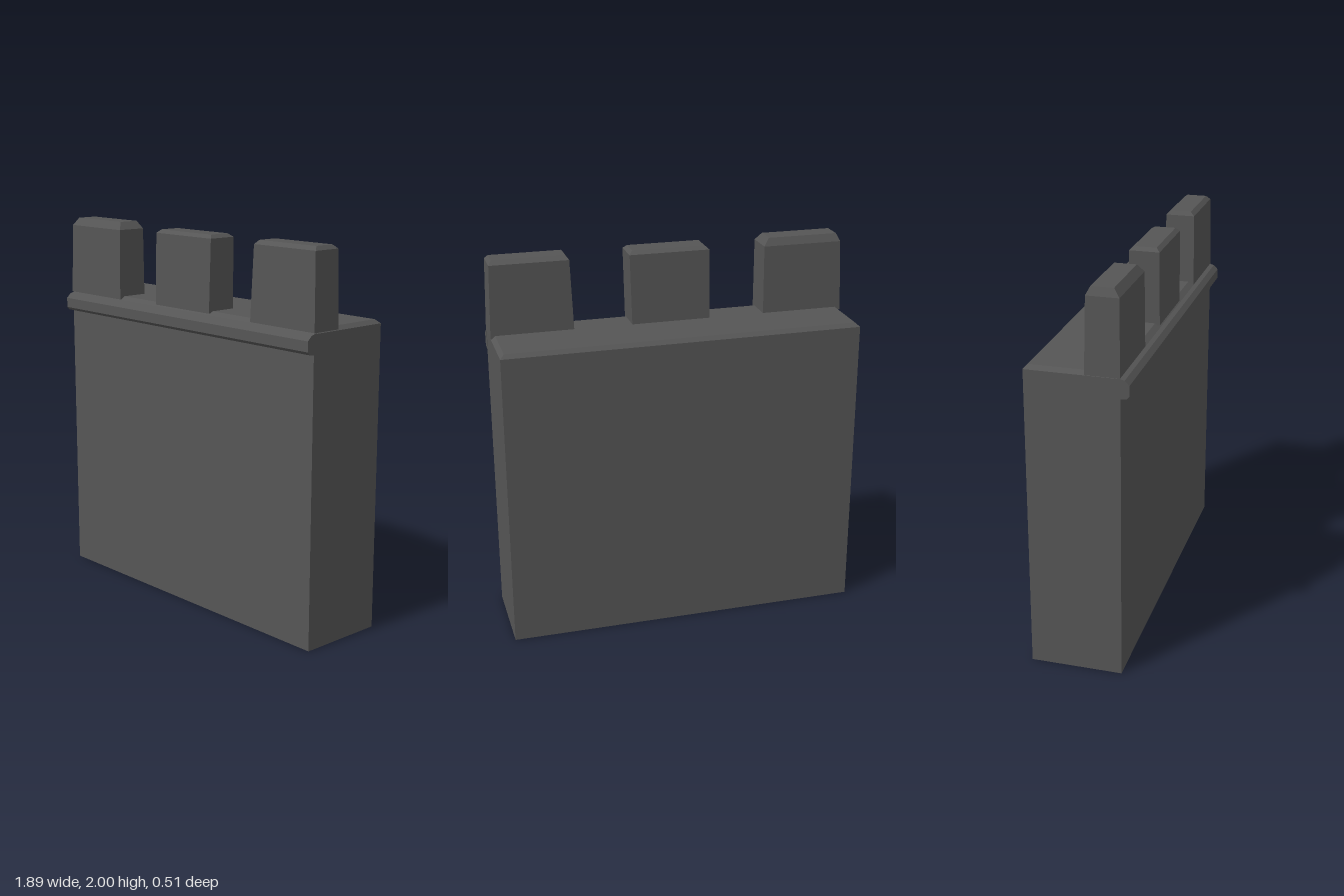
import * as THREE from 'three';

const stone = new THREE.MeshStandardMaterial({ color: 0x555555 });
stone.name = 'darkStone';

// Closed block through rectangular rings [y, x0, x1, z0, z1], listed from bottom to top
function loft(name, rings) {
  const pts = rings.map(([y, x0, x1, z0, z1]) => [[x0, y, z1], [x1, y, z1], [x1, y, z0], [x0, y, z0]]);
  const pos = [];
  const quad = (a, b, c, d) => pos.push(...a, ...b, ...c, ...a, ...c, ...d);
  for (let r = 0; r < pts.length - 1; r++) {
    for (let i = 0; i < 4; i++) {
      const j = (i + 1) % 4;
      quad(pts[r][i], pts[r][j], pts[r + 1][j], pts[r + 1][i]);
    }
  }
  const [a, b, c, d] = pts[0];
  quad(d, c, b, a);
  quad(...pts[pts.length - 1]);
  const geo = new THREE.BufferGeometry();
  geo.setAttribute('position', new THREE.Float32BufferAttribute(pos, 3));
  geo.computeVertexNormals();
  const mesh = new THREE.Mesh(geo, stone);
  mesh.name = name;
  return mesh;
}

export function createModel() {
  const group = new THREE.Group();
  group.name = 'castleWall';

  // Wall slab with a bevelled top
  group.add(loft('wall', [
    [0, -0.94, 0.94, -0.255, 0.215],
    [1.58, -0.94, 0.94, -0.255, 0.215],
    [1.6, -0.918, 0.918, -0.235, 0.185],
  ]));

  // Ledge along the front edge, extruded along x
  const profile = new THREE.Shape([
    [-0.2, 1.48], [-0.245, 1.485], [-0.258, 1.5], [-0.258, 1.552], [-0.235, 1.575], [-0.2, 1.585],
  ].map(([x, y]) => new THREE.Vector2(x, y)));
  const ledgeGeo = new THREE.ExtrudeGeometry(profile, { depth: 1.884, bevelEnabled: false });
  ledgeGeo.rotateY(Math.PI / 2).translate(-0.942, 0, 0);
  const ledge = new THREE.Mesh(ledgeGeo, stone);
  ledge.name = 'frontLedge';
  group.add(ledge);

  // Three slightly irregular, tapered merlons
  group.add(loft('rightMerlon', [
    [1.585, -0.948, -0.51, 0.045, 0.215],
    [1.96, -0.934, -0.51, 0.05, 0.21],
    [2.0, -0.915, -0.54, 0.07, 0.18],
  ]));
  group.add(loft('middleMerlon', [
    [1.59, -0.213, 0.205, 0.045, 0.21],
    [1.967, -0.21, 0.214, 0.05, 0.205],
    [1.985, -0.19, 0.195, 0.075, 0.185],
  ]));
  group.add(loft('leftMerlon', [
    [1.585, 0.51, 0.942, 0.05, 0.215],
    [1.965, 0.525, 0.932, 0.053, 0.207],
    [1.985, 0.54, 0.915, 0.078, 0.185],
  ]));
  return group;
}
